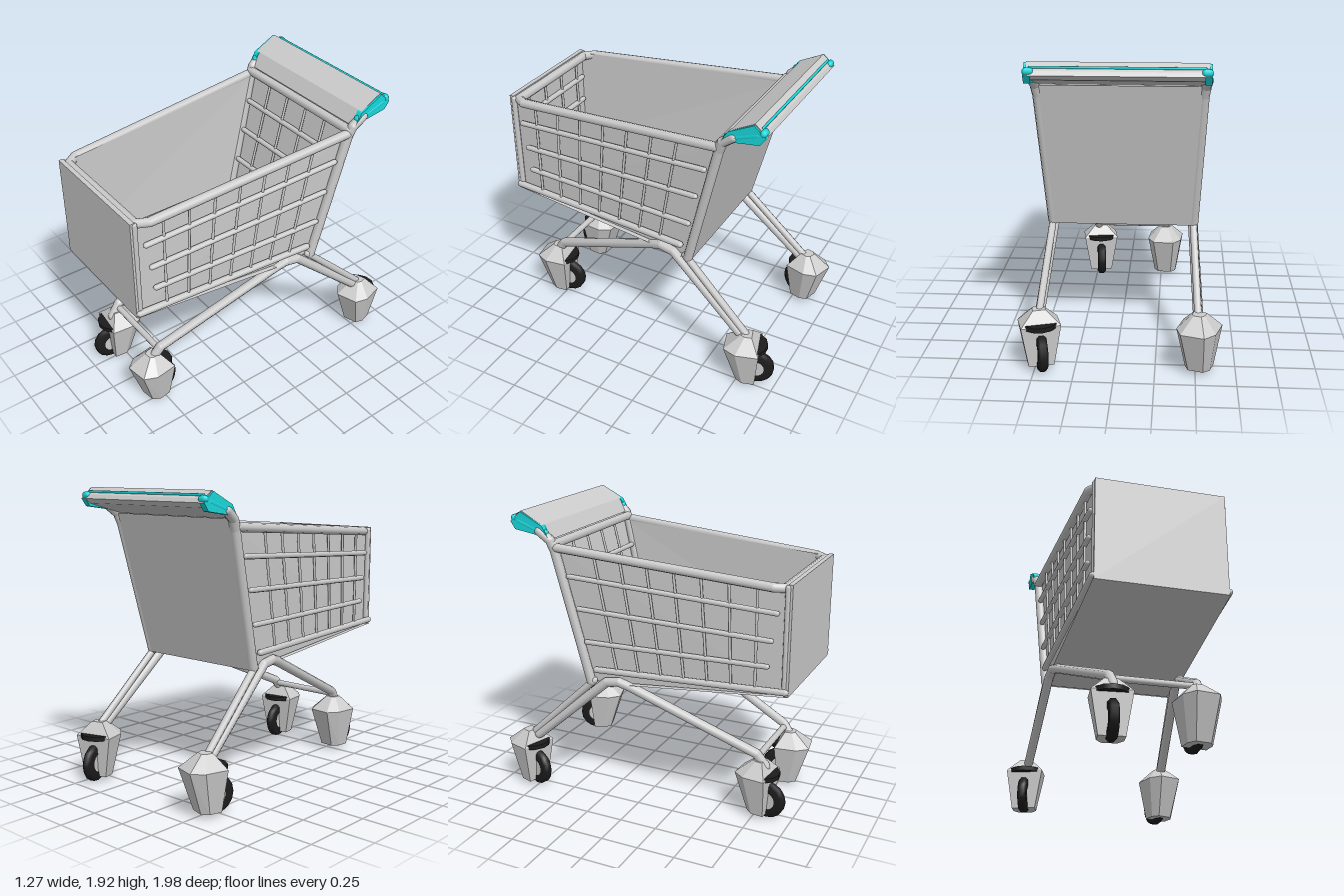
import * as THREE from 'three';
import { ConvexGeometry } from 'three/addons/geometries/ConvexGeometry.js';

const grey = new THREE.MeshStandardMaterial({ color: 0xcccccc });
const greyFlat = new THREE.MeshStandardMaterial({ color: 0xcccccc, flatShading: true });
const sheet = new THREE.MeshStandardMaterial({ color: 0xcccccc, side: THREE.DoubleSide });
const black = new THREE.MeshStandardMaterial({ color: 0x1c1c1c });
const cyan = new THREE.MeshStandardMaterial({ color: 0x19d8dc });
const V = (x, y, z) => new THREE.Vector3(x, y, z);
const lerp = THREE.MathUtils.lerp;

function add(parent, name, geometry, material, x = 0, y = 0, z = 0) {
  const mesh = new THREE.Mesh(geometry, material);
  mesh.name = name;
  mesh.position.set(x, y, z);
  parent.add(mesh);
  return mesh;
}

// Round-ended rods joined along a list of points
function rod(parent, name, r, points, material = grey) {
  for (let i = 1; i < points.length; i++) {
    const a = points[i - 1], b = points[i];
    const m = add(parent, name, new THREE.CapsuleGeometry(r, a.distanceTo(b), 3, 8), material);
    m.position.copy(a).add(b).multiplyScalar(0.5);
    m.quaternion.setFromUnitVectors(V(0, 1, 0), b.clone().sub(a).normalize());
  }
}

// Thin four-cornered panel
function panel(parent, name, a, b, c, d) {
  const g = new THREE.BufferGeometry().setFromPoints([a, b, c, a, c, d]);
  g.computeVertexNormals();
  add(parent, name, g, sheet);
}

// Basket rules: half width, and the sloping back plane
const halfWidth = (y, z) => 0.42 + (0.96 - z) * (0.058 - (1.7 - y) * 0.02);
const backZ = (y) => -0.34 - (y - 0.8) * 0.25;
const sidePoint = (s, y, z) => V(s * halfWidth(y, z), y, z);

function addBasket(cart) {
  const basket = new THREE.Group();
  basket.name = 'basket';
  cart.add(basket);
  const rails = [[0.9, 1.44, -0.47, 1.52], [0.87, 1.265, -0.41, 1.31], [0.85, 1.1, -0.36, 1.09]];
  const uprightX = [-0.28, -0.093, 0.093, 0.28];

  for (const s of [-1, 1]) {
    // Solid side wall just inside the wires
    const inside = (y, z) => V(s * (halfWidth(y, z) - 0.03), y, z);
    panel(basket, 'sideWall', inside(0.92, 0.98), inside(0.81, -0.35), inside(1.69, -0.57), inside(1.61, 0.98));
    rod(basket, 'lowerRail', 0.022, [sidePoint(s, 0.95, 0.97), sidePoint(s, 0.905, -0.3)]);
    for (const [z1, y1, z2, y2] of rails)
      rod(basket, 'sideRail', 0.018, [sidePoint(s, y1, z1), sidePoint(s, y2, z2)]);
    for (let i = 0; i < 7; i++) {
      const t = i / 6, zt = lerp(0.78, -0.29, t), zb = lerp(0.78, -0.15, t);
      rod(basket, 'sideWire', 0.009,
        [sidePoint(s, lerp(1.6, 1.68, t), zt), sidePoint(s, lerp(0.945, 0.91, t), zb)]);
    }
    // Rear post rising to the handle
    rod(basket, 'rearPost', 0.032, [V(s * 0.455, 0.81, -0.35), V(s * 0.5, 1.68, -0.565),
      V(s * 0.51, 1.745, -0.59), V(s * 0.52, 1.8, -0.66)]);
    rod(basket, 'frontCornerPost', 0.018, [V(s * 0.405, 0.94, 0.96), V(s * 0.41, 1.6, 0.96)]);
  }

  // Top rim
  rod(basket, 'rim', 0.03, [V(-0.505, 1.7, -0.55), V(-0.43, 1.598, 0.87), V(-0.385, 1.59, 0.94),
    V(0.385, 1.59, 0.94), V(0.43, 1.598, 0.87), V(0.505, 1.7, -0.55)]);
  rod(basket, 'rearRimBar', 0.03, [V(-0.5, 1.72, -0.57), V(0.5, 1.72, -0.57)]);

  // Front, floor and back plates
  add(basket, 'frontPlate', new THREE.BoxGeometry(0.83, 0.7, 0.03), grey, 0, 1.27, 0.975);
  panel(basket, 'floorPlate', V(-0.42, 0.92, 0.985), V(0.42, 0.92, 0.985), V(0.465, 0.8, -0.36), V(-0.465, 0.8, -0.36));
  panel(basket, 'backPlate', V(-0.46, 0.8, -0.375), V(0.46, 0.8, -0.375), V(0.5, 1.75, -0.61), V(-0.5, 1.75, -0.61));

  // Wires inside the back and front
  for (const [, y1, , y2] of rails) {
    const w = halfWidth(y2, backZ(y2)) - 0.05;
    rod(basket, 'backRail', 0.018, [V(-w, y2, backZ(y2)), V(w, y2, backZ(y2))]);
    rod(basket, 'frontRail', 0.018, [V(-0.35, y1, 0.94), V(0.35, y1, 0.94)]);
  }
  rod(basket, 'backLowerRail', 0.022, [V(-0.43, 0.9, backZ(0.9)), V(0.43, 0.9, backZ(0.9))]);
  for (const x of uprightX) {
    rod(basket, 'backWire', 0.009, [V(x, 0.9, backZ(0.9)), V(x, 1.7, backZ(1.7))]);
    rod(basket, 'frontWire', 0.009, [V(x, 0.95, 0.93), V(x, 1.59, 0.94)]);
  }

  // Floor wires and their border
  const floorY = (z) => 0.855 + (z + 0.35) * 0.09;
  const floorPoint = (x, z) => V(x, floorY(z), z);
  for (const x of uprightX) rod(basket, 'floorWire', 0.009, [floorPoint(x, -0.33), floorPoint(x, 0.91)]);
  for (let i = 0; i < 7; i++) {
    const z = -0.15 + i * 0.155, w = halfWidth(0.9, z) - 0.05;
    rod(basket, 'floorCrossWire', 0.009, [floorPoint(-w, z), floorPoint(w, z)]);
  }
  rod(basket, 'floorBorder', 0.016, [floorPoint(-0.42, -0.33), floorPoint(-0.37, 0.83), floorPoint(-0.31, 0.91),
    floorPoint(0.31, 0.91), floorPoint(0.37, 0.83), floorPoint(0.42, -0.33)]);
}

function addHandle(cart) {
  const handle = new THREE.Group();
  handle.name = 'handle';
  cart.add(handle);
  // Profile drawn as (-z, y), pushed along x
  const extrude = (name, pts, x0, width, material) => {
    const shape = new THREE.Shape(pts.map(([z, y]) => new THREE.Vector2(-z, y)));
    const g = new THREE.ExtrudeGeometry(shape, { depth: width, bevelEnabled: false });
    g.rotateY(Math.PI / 2);
    add(handle, name, g, material, x0);
  };
  extrude('handlePanel', [[-0.585, 1.75], [-0.83, 1.82], [-0.865, 1.85], [-0.85, 1.875], [-0.79, 1.92], [-0.64, 1.84]],
    -0.525, 1.05, grey);
  rod(handle, 'handleStripe', 0.008, [V(-0.5, 1.893, -0.83), V(0.5, 1.893, -0.83)], cyan);
  for (const s of [-1, 1]) {
    extrude('handleEnd', [[-0.59, 1.765], [-0.83, 1.8], [-0.865, 1.85], [-0.79, 1.915], [-0.63, 1.835]],
      s * 0.518 - 0.02, 0.04, cyan);
    rod(handle, 'handleGrip', 0.027, [V(s * 0.515, 1.79, -0.625), V(s * 0.515, 1.855, -0.81)], cyan);
    rod(handle, 'handleKnob', 0.024, [V(s * 0.5, 1.87, -0.843), V(s * 0.52, 1.87, -0.843)], cyan);
  }
}

// Swivelling caster: faceted housing at the front, wheel trailing behind
function addCaster(cart, name, x, z, turn) {
  const caster = new THREE.Group();
  caster.name = name;
  caster.position.set(x, 0, z);
  caster.rotation.y = turn;
  cart.add(caster);
  const pts = [];
  for (const [y, hx, front, back] of [[0.39, 0.04, 0.035, -0.035], [0.3, 0.125, 0.14, -0.09], [0.03, 0.08, 0.055, -0.07]])
    for (const s of [-1, 1])
      pts.push(V(s * hx, y, back), V(s * hx, y, lerp(back, front, 0.65)), V(s * hx * 0.6, y, front));
  add(caster, 'housing', new ConvexGeometry(pts), greyFlat);
  add(caster, 'swivelPlate', new THREE.CylinderGeometry(0.11, 0.11, 0.03, 12), black, 0, 0.3, -0.03);
  const tyre = [[0.06, -0.03], [0.105, -0.03], [0.123, -0.015], [0.123, 0.015], [0.105, 0.03], [0.06, 0.03]];
  const wheel = add(caster, 'wheel', new THREE.LatheGeometry(tyre.map(([r, h]) => new THREE.Vector2(r, h)), 16),
    black, 0, 0.123, -0.065);
  wheel.rotation.z = Math.PI / 2;
  const hub = add(caster, 'hub', new THREE.CylinderGeometry(0.065, 0.065, 0.05, 12), grey, 0, 0.123, -0.065);
  hub.rotation.z = Math.PI / 2;
}

export function createModel() {
  const model = new THREE.Group();
  model.name = 'shoppingCart';
  const cart = new THREE.Group();
  cart.name = 'cart';
  cart.position.x = -0.022;
  model.add(cart);

  addBasket(cart);
  addHandle(cart);

  // Undercarriage
  for (const s of [-1, 1]) {
    rod(cart, 'leg', 0.032, [V(s * 0.255, 0.35, 0.81), V(s * 0.265, 0.43, 0.75), V(s * 0.43, 0.81, -0.08),
      V(s * 0.445, 0.835, -0.15), V(s * 0.45, 0.82, -0.24), V(s * 0.49, 0.36, -0.76)]);
    rod(cart, 'legBrace', 0.024, [V(s * 0.455, 0.82, -0.33), V(s * 0.49, 0.37, -0.8)]);
  }
  rod(cart, 'crossBar', 0.022, [V(-0.26, 0.41, 0.76), V(0.26, 0.41, 0.76)]);
  addCaster(cart, 'frontLeftCaster', 0.25, 0.81, 0.15);
  addCaster(cart, 'frontRightCaster', -0.26, 0.77, Math.PI - 0.1);
  addCaster(cart, 'rearLeftCaster', 0.495, -0.8, 0.3);
  addCaster(cart, 'rearRightCaster', -0.495, -0.83, Math.PI - 0.3);
  return model;
}
